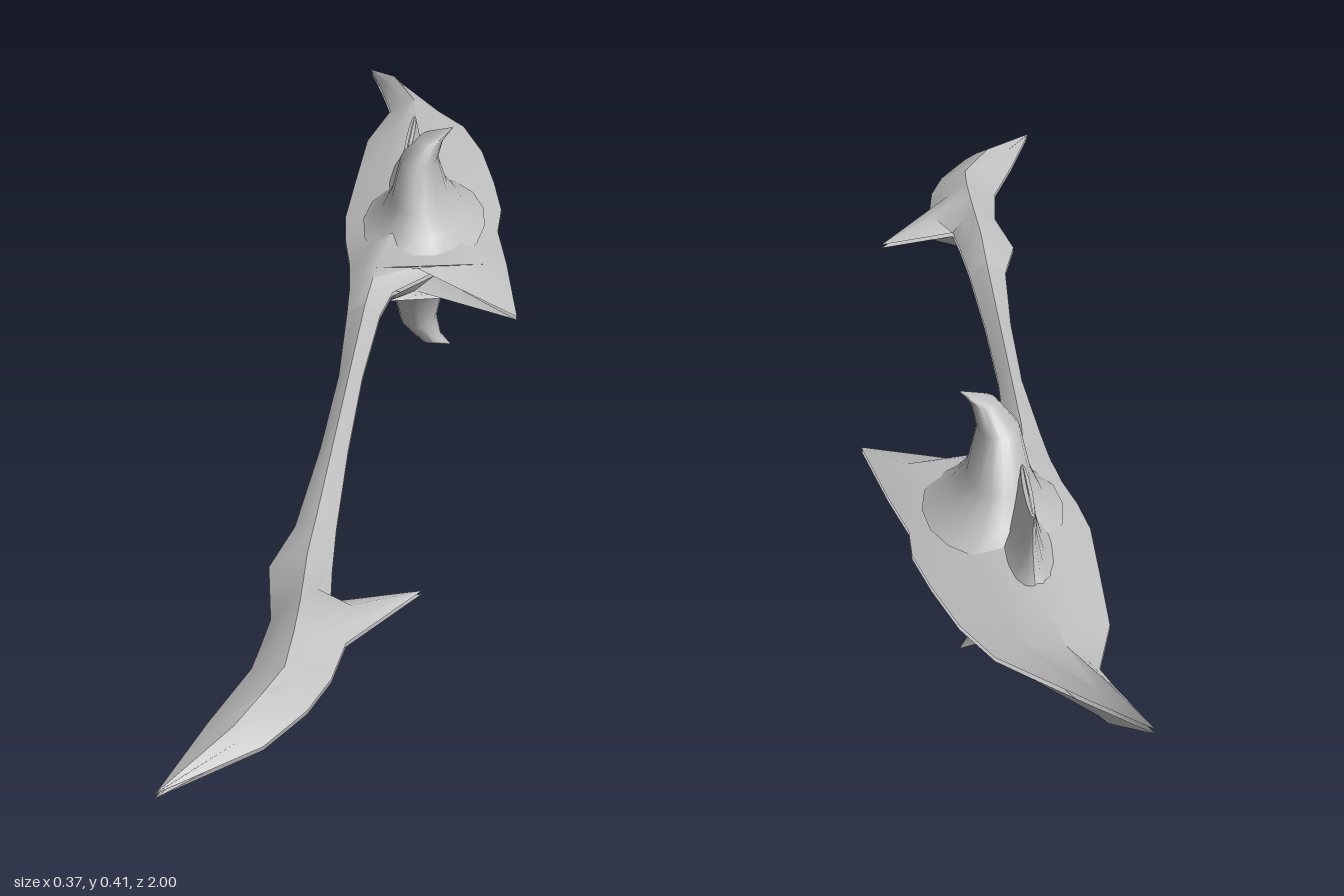
import * as THREE from 'three';
import { toCreasedNormals } from 'three/addons/utils/BufferGeometryUtils.js';

const MID = 0.206;   // height of the mirror plane
const EDGE = 0.003;  // half thickness of the sharp rim

// Stations: left edge x,z | ridge x,z,height | right edge x,z | optional right middle x,z,height
const HEAD = [
  [-0.145, -1, -0.145, -1, 0.004, -0.145, -1],
  [-0.117, -0.925, -0.095, -0.93, 0.03, -0.07, -0.925],
  [-0.093, -0.85, -0.05, -0.84, 0.034, 0.04, -0.81],
  [-0.12, -0.74, -0.03, -0.73, 0.036, 0.08, -0.725],
  [-0.123, -0.6, -0.025, -0.6, 0.04, 0.11, -0.62],
  [-0.125, -0.475, -0.02, -0.48, 0.045, 0.13, -0.53],
  [-0.115, -0.4, -0.02, -0.4, 0.05, 0.13, -0.46],
  [-0.1, -0.33, -0.035, -0.35, 0.05, 0.153, -0.36, 0.07, -0.37, 0.036],
  [-0.095, -0.29, -0.045, -0.3, 0.04, 0.183, -0.2, 0.125, -0.31, 0.03],
  [-0.092, -0.27, -0.05, -0.275, 0.032, 0.04, -0.32, 0.01, -0.3, 0.022],
  [-0.09, -0.25, -0.052, -0.25, 0.028, -0.02, -0.25],
  [-0.085, -0.18, -0.056, -0.18, 0.022, -0.032, -0.18],
];
const HANDLE = [
  [-0.085, -0.18, -0.056, -0.18, 0.022, -0.032, -0.18],
  [-0.075, 0, -0.056, 0, 0.022, -0.038, 0],
  [-0.077, 0.2, -0.056, 0.2, 0.022, -0.035, 0.2],
  [-0.087, 0.4, -0.056, 0.4, 0.022, -0.027, 0.4],
];
const POMMEL = [
  [-0.087, 0.4, -0.056, 0.4, 0.022, -0.027, 0.4],
  [-0.11, 0.5, -0.055, 0.5, 0.032, -0.02, 0.5],
  [-0.1, 0.56, -0.05, 0.575, 0.041, -0.013, 0.57],
  [-0.09, 0.62, -0.047, 0.63, 0.046, 0.11, 0.53, 0.02, 0.6, 0.022],
  [-0.095, 0.68, -0.047, 0.69, 0.041, 0.02, 0.66],
  [-0.1, 0.73, -0.05, 0.76, 0.035, 0.01, 0.74],
  [-0.12, 0.79, -0.07, 0.81, 0.031, -0.013, 0.81],
  [-0.14, 0.85, -0.1, 0.88, 0.026, -0.06, 0.89],
  [-0.184, 1, -0.184, 1, 0.004, -0.184, 1],
];

// Rings: height, centre x, radius x, centre z, radius z
const HORN = [
  [0.025, 0.01, 0.1, -0.44, 0.15],
  [0.05, 0.007, 0.067, -0.44, 0.108],
  [0.085, 0.002, 0.045, -0.44, 0.085],
  [0.15, 0.002, 0.03, -0.432, 0.045],
  [0.188, 0.022, 0.019, -0.43, 0.025],
  [0.206, 0.055, 0.001, -0.435, 0.002],
];
const FIN = [
  [0.025, -0.025, 0.04, -0.56, 0.14],
  [0.045, -0.025, 0.022, -0.56, 0.115],
  [0.075, -0.025, 0.013, -0.56, 0.092],
  [0.114, -0.027, 0.006, -0.56, 0.077],
  [0.115, -0.027, 0.0005, -0.56, 0.07],
];

// Skin rows of equal length; side is 1 for the upper half, -1 for the lower
function skin(rows, side) {
  const n = rows[0].length;
  const pos = rows.flat().flatMap(([x, h, z]) => [x, MID + side * h, z]);
  const index = [];
  const tri = (a, b, c) => (side > 0 ? index.push(a, b, c) : index.push(a, c, b));
  for (let r = 0; r < rows.length - 1; r++) {
    for (let i = 0; i < n - 1; i++) {
      const a = r * n + i;
      tri(a, a + n, a + 1);
      tri(a + 1, a + n, a + n + 1);
    }
  }
  const geo = new THREE.BufferGeometry();
  geo.setAttribute('position', new THREE.Float32BufferAttribute(pos, 3));
  geo.setIndex(index);
  return toCreasedNormals(geo, 0.8);
}

// Five points across: left edge, left middle, ridge, right middle, right edge
function bladeRows(stations) {
  return stations.map(([lx, lz, x, z, h, rx, rz, mx, mz, mh]) => [
    [lx, EDGE, lz],
    [(lx + x) / 2, EDGE + (h - EDGE) * 0.6, (lz + z) / 2],
    [x, h, z],
    mx === undefined
      ? [(rx + x) / 2, EDGE + (h - EDGE) * 0.6, (rz + z) / 2]
      : [mx, mh, mz],
    [rx, EDGE, rz],
  ]);
}

function ringRows(rings, sides = 16) {
  return rings.map(([h, cx, rx, cz, rz]) =>
    Array.from({ length: sides + 1 }, (_, i) => {
      const a = (i / sides) * Math.PI * 2;
      return [cx + Math.cos(a) * rx, h, cz + Math.sin(a) * rz];
    }));
}

export function createModel() {
  const model = new THREE.Group();
  model.name = 'poleaxe';
  const steel = new THREE.MeshStandardMaterial({ color: 0xc0c0c0, side: THREE.DoubleSide });
  steel.name = 'steel grey';

  const parts = {
    axeHead: bladeRows(HEAD),
    handle: bladeRows(HANDLE),
    pommelBlade: bladeRows(POMMEL),
    horn: ringRows(HORN),
    fin: ringRows(FIN),
  };
  for (const [name, rows] of Object.entries(parts)) {
    const part = new THREE.Group();
    part.name = name;
    for (const side of [1, -1]) {
      const mesh = new THREE.Mesh(skin(rows, side), steel);
      mesh.name = name + (side > 0 ? 'Upper' : 'Lower');
      part.add(mesh);
    }
    model.add(part);
  }
  return model;
}
